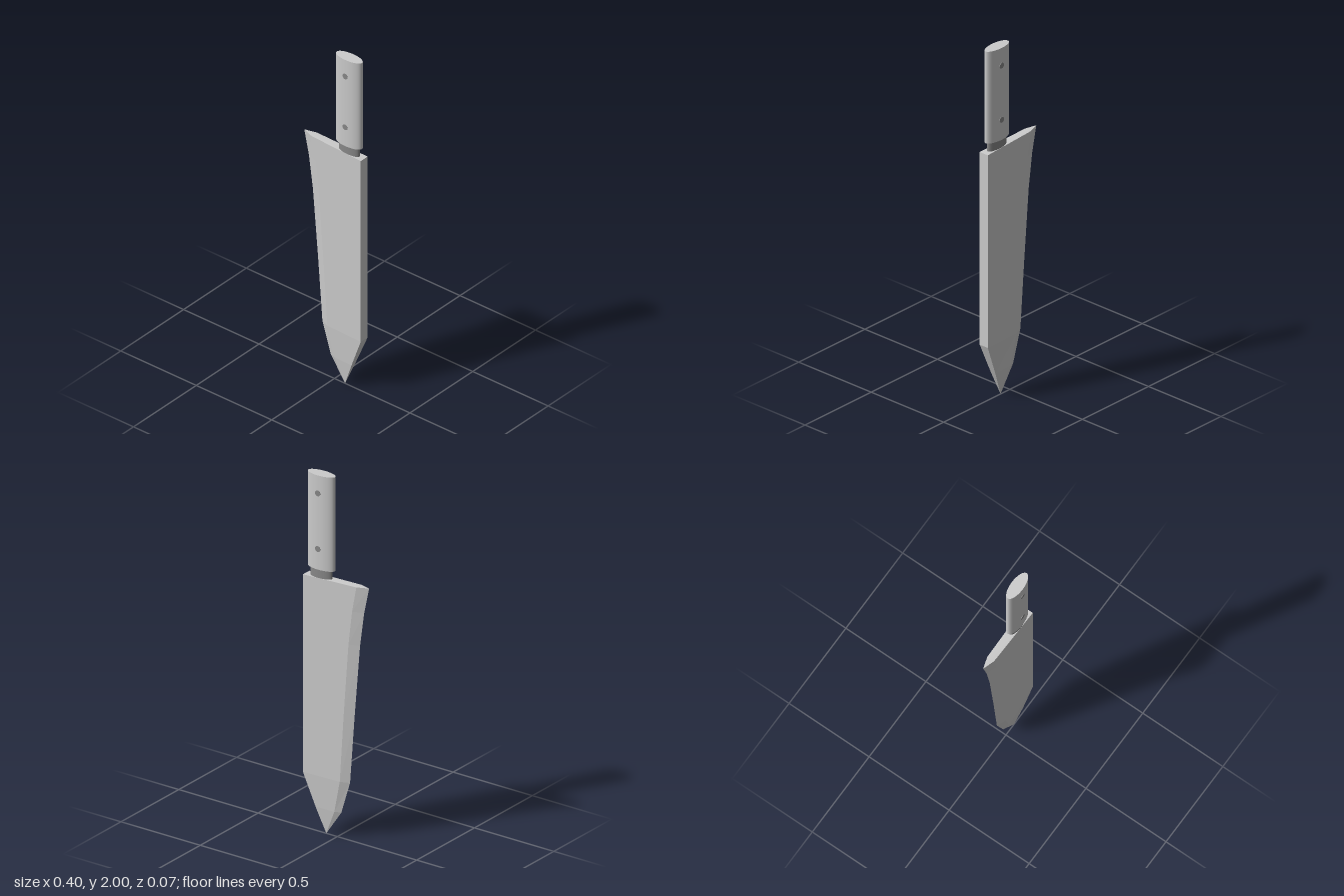
import * as THREE from 'three';

const steel = new THREE.MeshStandardMaterial({ color: 0xcccccc, flatShading: true });
const gripMat = new THREE.MeshStandardMaterial({ color: 0xcccccc });
const darkMat = new THREE.MeshStandardMaterial({ color: 0x888888 });

// Blade lofted through five-sided sections, from the tip up to the heel
function bladeGeometry() {
  // y, cutting edge x, bevel x, spine x, half thickness at bevel, half thickness at spine
  const rows = [
    [0.0, 0.07, 0.07, 0.07, 0, 0],
    [0.14, -0.025, 0.01, 0.126, 0.013, 0.016],
    [0.32, -0.08, -0.03, 0.197, 0.021, 0.028],
    [0.7, -0.109, -0.055, 0.197, 0.021, 0.028],
    [1.1, -0.143, -0.085, 0.197, 0.021, 0.028],
    [1.29, -0.169, -0.108, 0.197, 0.021, 0.028],
    [1.435, -0.2, -0.135, 0.197, 0.021, 0.028],
  ];
  const pos = [], idx = [];
  rows.forEach(([y, edge, bevel, spine, tb, ts], i) => {
    const drop = i === rows.length - 1 ? 0.014 : 0; // heel slopes down to the spine
    pos.push(edge, y, 0, bevel, y - drop * 0.2, tb, spine, y - drop, ts,
      spine, y - drop, -ts, bevel, y - drop * 0.2, -tb);
  });
  for (let i = 0; i < rows.length - 1; i++) {
    for (let j = 0; j < 5; j++) {
      const a = i * 5 + j, b = i * 5 + (j + 1) % 5;
      if (i > 0) idx.push(a, b, b + 5);
      idx.push(a, b + 5, a + 5);
    }
  }
  const top = (rows.length - 1) * 5;
  for (let j = 1; j < 4; j++) idx.push(top, top + j, top + j + 1);
  const g = new THREE.BufferGeometry();
  g.setAttribute('position', new THREE.Float32BufferAttribute(pos, 3));
  g.setIndex(idx);
  const flat = g.toNonIndexed();
  flat.computeVertexNormals();
  return flat;
}

// Upright elliptical cylinder between two heights
function oval(rx, rz, y0, y1) {
  return new THREE.CylinderGeometry(1, 1, y1 - y0, 64)
    .scale(rx, 1, rz).translate(0.099, (y0 + y1) / 2, 0);
}

export function createModel() {
  const group = new THREE.Group();
  const add = (name, geometry, material) => {
    const mesh = new THREE.Mesh(geometry, material);
    mesh.name = name;
    group.add(mesh);
    return mesh;
  };

  add('blade', bladeGeometry(), steel);
  add('neck', oval(0.067, 0.025, 1.41, 1.49), darkMat);
  add('handle', oval(0.084, 0.034, 1.475, 2), gripMat);

  // Rivets pass right through the handle
  for (const y of [1.59, 1.9]) {
    const pin = new THREE.CylinderGeometry(0.016, 0.016, 0.072, 24).rotateX(Math.PI / 2);
    add('rivet', pin, darkMat).position.set(0.099, y, 0);
  }
  return group;
}
